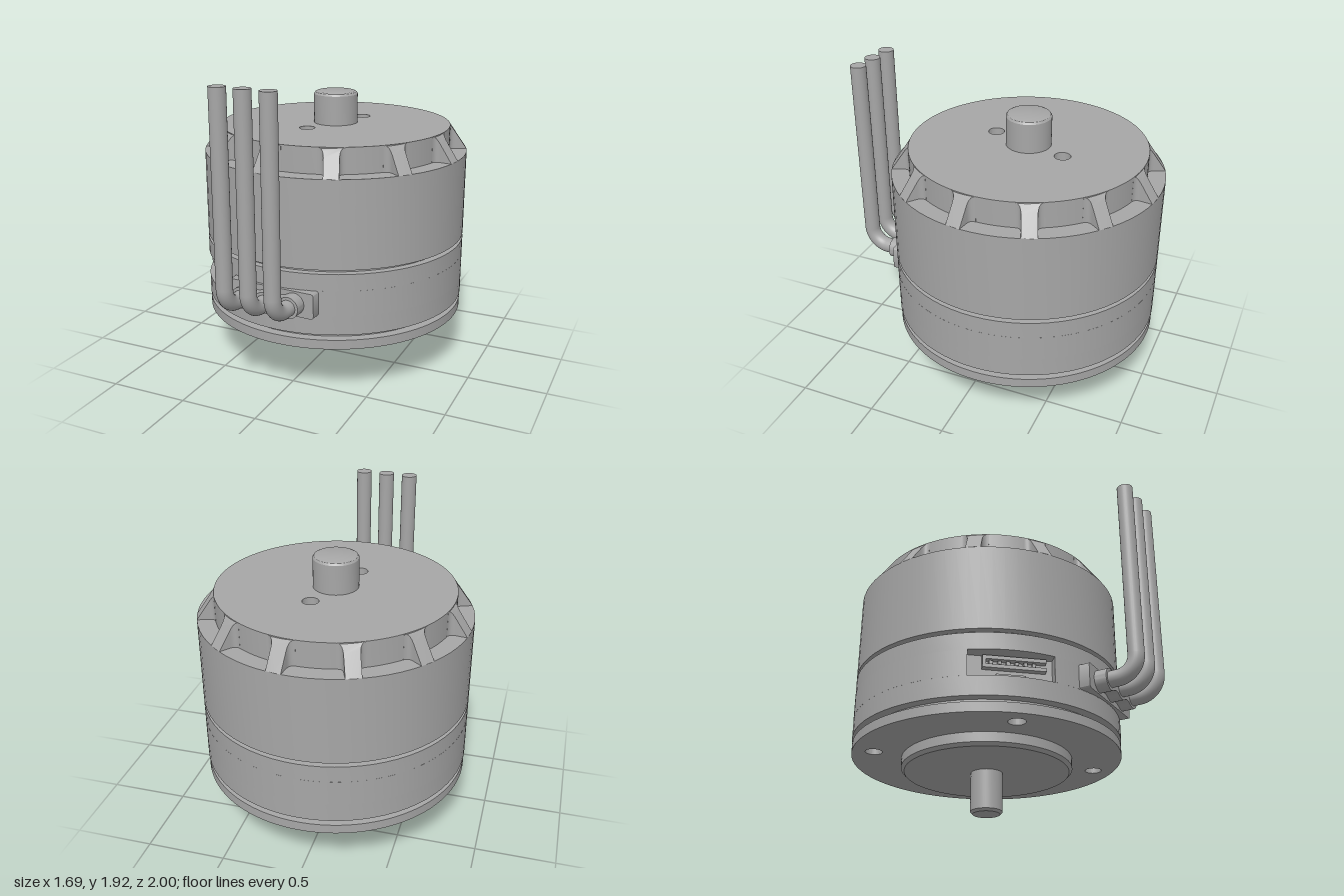
import * as THREE from 'three';
import { toCreasedNormals } from 'three/addons/utils/BufferGeometryUtils.js';

const SEG = 72;
const rad = THREE.MathUtils.degToRad;

export function createModel() {
  const grey = new THREE.MeshStandardMaterial({ color: 0xa6a6a6 });
  grey.name = 'metalGrey';

  const model = new THREE.Group();
  model.name = 'electricMotor';
  const motor = new THREE.Group();
  motor.name = 'motor';
  motor.position.z = -0.158;
  model.add(motor);

  const add = (parent, name, geometry, x = 0, y = 0, z = 0) => {
    const mesh = new THREE.Mesh(geometry, grey);
    mesh.name = name;
    mesh.position.set(x, y, z);
    parent.add(mesh);
    return mesh;
  };
  const group = (name, angle) => {
    const g = new THREE.Group();
    g.name = name;
    g.rotation.y = rad(angle);
    motor.add(g);
    return g;
  };
  // Turned part, outline running from bottom axis to top axis
  const turned = (points, seg = SEG) => toCreasedNormals(
    new THREE.LatheGeometry(points.map(p => new THREE.Vector2(...p)), seg), 0.5);
  const disc = (r, y0, y1) => turned([[0, y0], [r, y0], [r, y1], [0, y1]]);
  // Plan shape (x, z) raised from y0 to y1
  const slab = (shape, y0, y1, seg = SEG) => {
    const g = new THREE.ExtrudeGeometry(shape, { depth: y1 - y0, bevelEnabled: false, curveSegments: seg });
    g.rotateX(Math.PI / 2).translate(0, y1, 0);
    return toCreasedNormals(g, 0.5);
  };
  const circle = (r, x = 0, y = 0) => new THREE.Shape().absarc(x, y, r, 0, Math.PI * 2, false);

  // Shafts and pilot flange
  add(motor, 'lowerShaft', turned([[0, 0], [0.085, 0], [0.1, 0.015], [0.1, 0.28], [0, 0.28]], 40));
  add(motor, 'upperShaft', turned([[0, 1.53], [0.14, 1.53], [0.14, 1.735], [0.132, 1.747], [0.12, 1.752], [0, 1.752]], 48));
  add(motor, 'pilotFlange', turned([[0, 0.26], [0.515, 0.26], [0.535, 0.28], [0.535, 0.345], [0, 0.345]]));

  // Mounting plate with four screw holes
  const mount = group('mount', -2.9);
  const plate = circle(0.842);
  for (let i = 0; i < 4; i++) {
    const a = rad(45 + i * 90);
    plate.holes.push(circle(0.052, 0.71 * Math.cos(a), 0.71 * Math.sin(a)));
  }
  add(mount, 'mountingPlate', slab(plate, 0.34, 0.4));
  add(motor, 'lowerGroove', disc(0.785, 0.4, 0.435));

  // Stator housing, its middle band notched for the signal socket
  const R = 0.845, portAngle = 142, half = 17.3, back = 0.737;
  const c = Math.cos(rad(portAngle)), s = Math.sin(rad(portAngle)), w = R * Math.sin(rad(half));
  const notched = new THREE.Shape();
  notched.absarc(0, 0, R, rad(portAngle + half), rad(portAngle - half + 360), false);
  notched.lineTo(back * c + w * s, back * s - w * c);
  notched.lineTo(back * c - w * s, back * s + w * c);
  notched.closePath();
  add(motor, 'housingLower', disc(R, 0.435, 0.555));
  add(motor, 'housingMiddle', slab(notched, 0.555, 0.715));
  add(motor, 'housingUpper', disc(R, 0.715, 0.82));

  // Socket inside the notch
  const port = group('signalSocket', 90 - portAngle);
  add(port, 'socketTop', new THREE.BoxGeometry(0.37, 0.022, 0.04), 0.025, 0.694, back + 0.02);
  add(port, 'socketBottom', new THREE.BoxGeometry(0.37, 0.022, 0.04), 0.025, 0.641, back + 0.02);
  add(port, 'socketSide', new THREE.BoxGeometry(0.02, 0.075, 0.04), -0.15, 0.6675, back + 0.02);
  for (let i = 0; i < 6; i++)
    add(port, 'socketPin', new THREE.BoxGeometry(0.022, 0.02, 0.03), -0.11 + i * 0.05, 0.668, back + 0.015);
  add(port, 'socketTab', new THREE.BoxGeometry(0.17, 0.026, 0.03), 0.005, 0.585, back + 0.015);

  // Rotor bell
  add(motor, 'bellGroove', disc(0.8, 0.82, 0.845));
  add(motor, 'bell', disc(R, 0.845, 1.39));
  const rTop = 0.735, y0 = 1.39, y1 = 1.55;
  const crown = circle(rTop);
  const holes = [[0.085, -0.25], [-0.085, 0.25]];
  holes.forEach(([x, z]) => crown.holes.push(circle(0.05, x, z)));
  add(motor, 'bellTop', slab(crown, y0, y1));
  holes.forEach(([x, z]) =>
    add(motor, 'drilledHole', turned([[0.051, 1.47], [0.05, 1.46], [0, 1.43]], 32), x, 0, z));

  // Twelve sloping ribs with filleted roots around the bell top
  const h = 0.046, f = 0.035;
  const rib = new THREE.Shape();
  rib.moveTo(-h - f, rTop - 0.015);
  rib.lineTo(h + f, rTop - 0.015);
  rib.lineTo(h + f, rTop - 0.004);
  rib.quadraticCurveTo(h, rTop, h, rTop + f);
  for (let i = 0; i <= 4; i++) {
    const x = h - i * h / 2;
    rib.lineTo(x, Math.sqrt(R * R - x * x));
  }
  rib.lineTo(-h, rTop + f);
  rib.quadraticCurveTo(-h, rTop, -h - f, rTop - 0.004);
  rib.closePath();
  let ribGeo = new THREE.ExtrudeGeometry(rib, { depth: y1 - y0, bevelEnabled: false, curveSegments: 5 });
  ribGeo.rotateX(Math.PI / 2).translate(0, y1, 0);
  const p = ribGeo.attributes.position;
  for (let i = 0; i < p.count; i++) {
    if (p.getY(i) < y0 + 0.01) continue;
    const t = THREE.MathUtils.clamp((R - Math.hypot(p.getX(i), p.getZ(i))) / (R - rTop), 0, 1);
    p.setY(i, y0 + t * (y1 - y0 - 0.001));
  }
  ribGeo = toCreasedNormals(ribGeo, 0.5);
  for (let i = 0; i < 12; i++)
    add(motor, 'bellRib', ribGeo).rotation.y = rad(-8 + i * 30);

  // Wire outlet: rounded base plate and scalloped grommet
  const outlet = group('wireOutlet', -2.9);
  const cy = 0.635;
  const base = new THREE.Shape();
  const bx = 0.29, by = 0.079, k = 0.018;
  [[bx - k, by - k, 0], [-bx + k, by - k, 90], [-bx + k, -by + k, 180], [bx - k, -by + k, 270]]
    .forEach(([x, y, a]) => base.absarc(x, y, k, rad(a), rad(a + 90), false));
  base.closePath();
  const face = (shape, depth) => toCreasedNormals(
    new THREE.ExtrudeGeometry(shape, { depth, bevelEnabled: false, curveSegments: 12 }), 0.5);
  add(outlet, 'outletPlate', face(base, 0.11), 0, cy, 0.75);

  const pitch = 0.16, r = 0.068;
  const scallop = new THREE.Shape();
  const wave = x => 0.055 + 0.013 * Math.cos(2 * Math.PI * x / pitch);
  scallop.absarc(pitch, 0, r, -Math.PI / 2, Math.PI / 2, false);
  for (let i = 1; i < 24; i++) {
    const x = pitch - i * pitch / 12;
    scallop.lineTo(x, wave(x));
  }
  scallop.absarc(-pitch, 0, r, Math.PI / 2, Math.PI * 1.5, false);
  for (let i = 1; i < 24; i++) {
    const x = -pitch + i * pitch / 12;
    scallop.lineTo(x, -wave(x));
  }
  add(outlet, 'grommet', face(scallop, 0.085), 0, cy, 0.85);

  // Three wires: straight out, quarter bend, straight up
  const wr = 0.05, bend = 0.12, wz = 1.1, top = 1.925;
  const straight = len => new THREE.CylinderGeometry(wr, wr, len, 28);
  const elbow = new THREE.TorusGeometry(bend, wr, 28, 14, Math.PI / 2);
  elbow.rotateZ(-Math.PI / 2).rotateY(-Math.PI / 2);
  for (const x of [-pitch, 0, pitch]) {
    const z0 = 0.9, z1 = wz - bend, yb = cy + bend;
    add(outlet, 'wireStub', straight(z1 - z0), x, cy, (z0 + z1) / 2).rotation.x = Math.PI / 2;
    add(outlet, 'wireBend', elbow, x, yb, z1);
    add(outlet, 'wire', straight(top - yb), x, (top + yb) / 2, wz);
  }
  return model;
}
